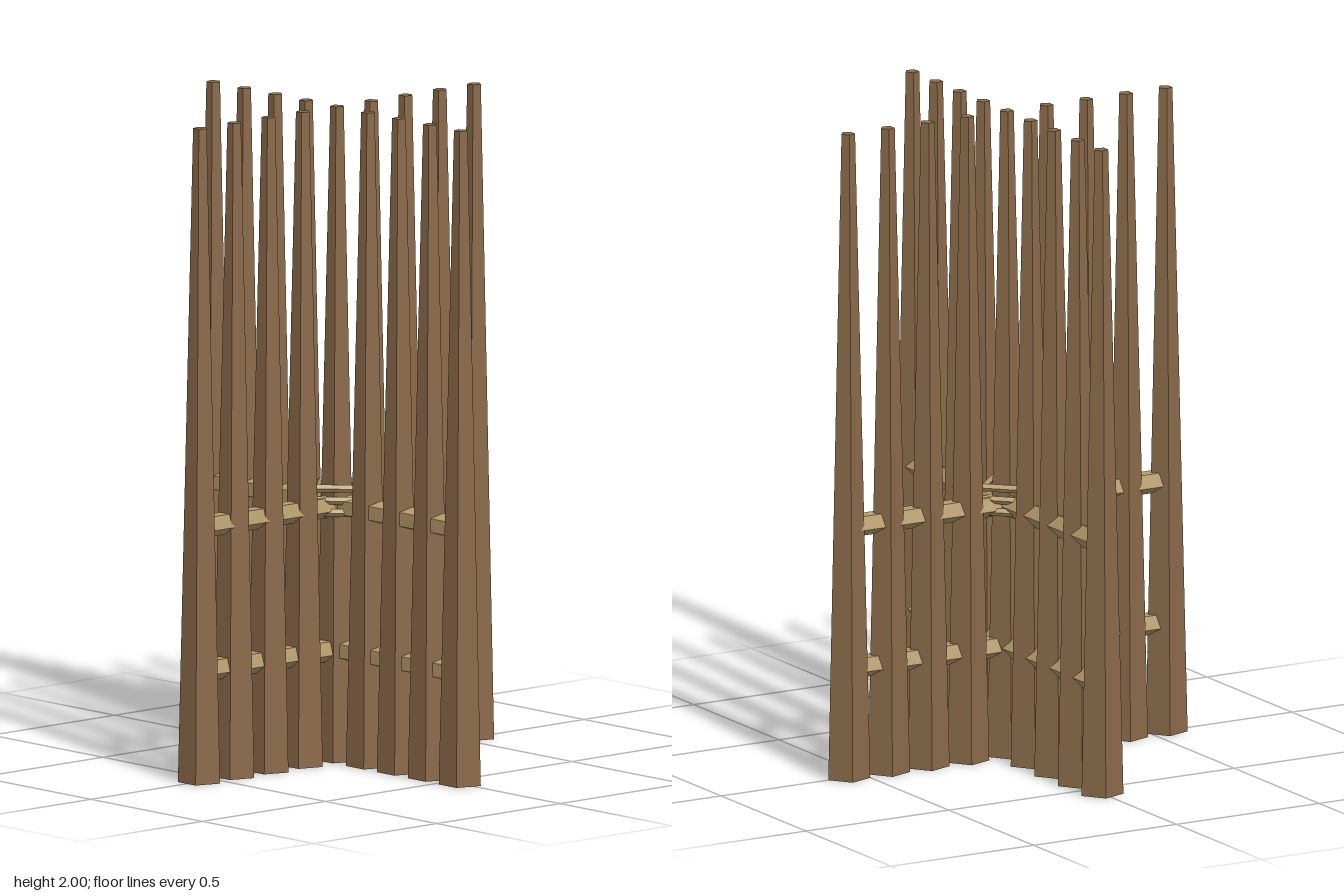
import * as THREE from 'three';

export function createModel() {
  const model = new THREE.Group();
  const wood = new THREE.MeshStandardMaterial({ color: 0x8a6a4a, flatShading: true });
  wood.name = 'dark wood';
  const paleWood = new THREE.MeshStandardMaterial({ color: 0xb89b6c, flatShading: true });
  paleWood.name = 'pale wood';

  function add(name, geometry, material, x = 0, y = 0, z = 0) {
    const mesh = new THREE.Mesh(geometry, material);
    mesh.name = name;
    mesh.position.set(x, y, z);
    model.add(mesh);
    return mesh;
  }

  // Tapered five-sided stakes, set out in a cross
  const spacing = 0.139;
  const stake = new THREE.CylinderGeometry(0.022, 0.068, 2, 5).rotateY(Math.PI);
  add('centreStake', stake, wood, 0, 1, 0);
  for (let i = -4; i <= 4; i++) {
    if (i === 0) continue;
    add('crossStake', stake, wood, i * spacing, 1, 0);
    add('lengthStake', stake, wood, 0, 1, i * spacing);
  }

  // Two levels of five-sided rails along both arms
  const length = spacing * 8;
  const crossRail = new THREE.CylinderGeometry(0.036, 0.036, length, 5)
    .rotateY(Math.PI).rotateZ(Math.PI / 2);
  const lengthRail = new THREE.CylinderGeometry(0.036, 0.036, length, 5).rotateX(Math.PI / 2);
  for (const y of [0.34, 0.78]) {
    add('crossRail', crossRail, paleWood, 0, y, 0);
    add('lengthRail', lengthRail, paleWood, 0, y, 0);
  }

  // Angular rope lashing around the centre stake
  const lashing = new THREE.TorusGeometry(0.083, 0.012, 4, 4).rotateX(Math.PI / 2);
  for (const y of [0.765, 0.802, 0.839]) add('lashing', lashing, paleWood, 0, y, 0);

  return model;
}
